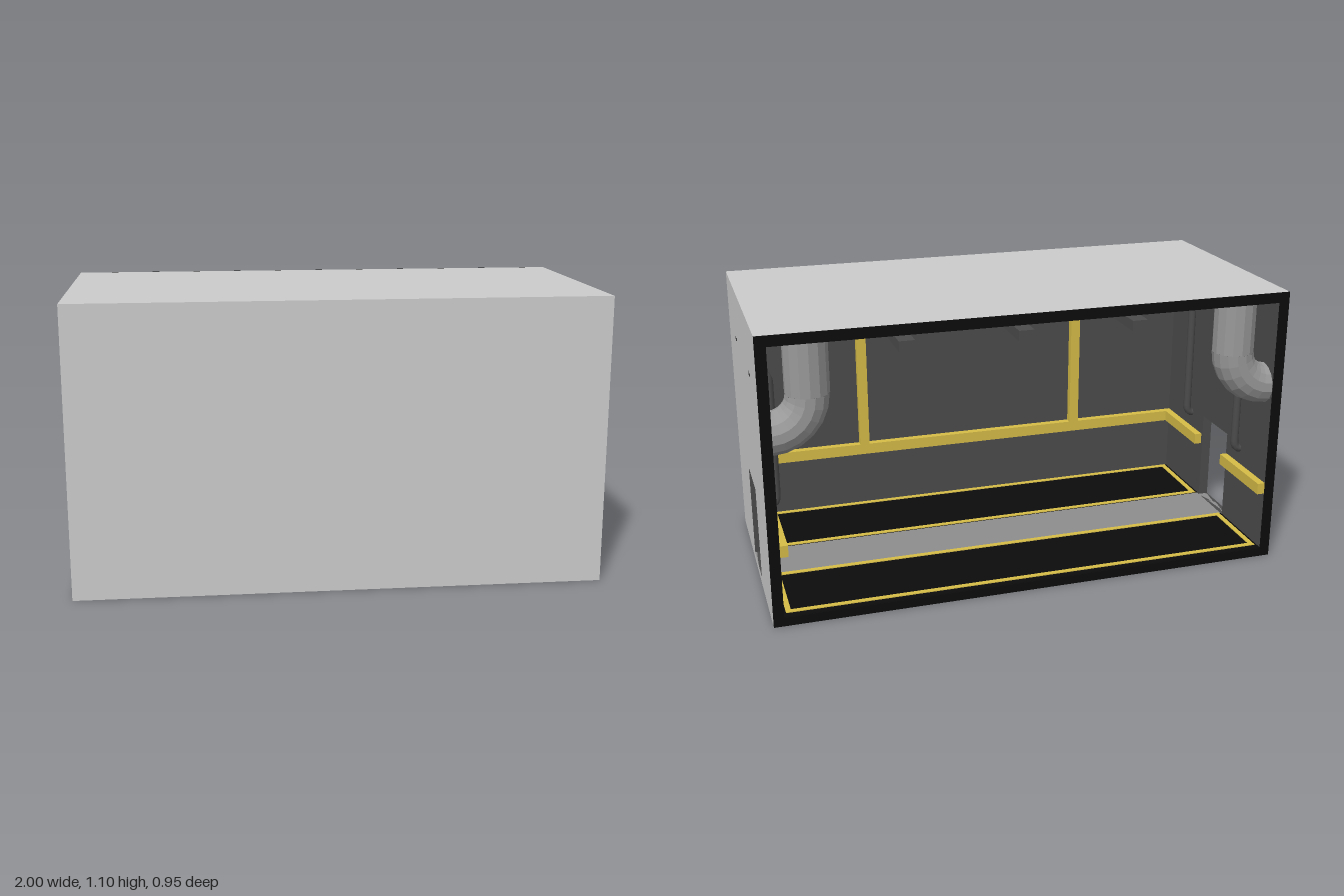
import * as THREE from 'three';

const paint = (color, extra = {}) => new THREE.MeshStandardMaterial({ color, ...extra });

export function createModel() {
  const model = new THREE.Group();
  const light = paint(0xcccccc);
  const dark = paint(0x4c4c4c);
  const black = paint(0x0c0c0c);
  const yellow = paint(0xd6bd48);
  const deck = paint(0x8e8e8e);
  const pipeGrey = paint(0x999999, { flatShading: true });

  const add = (name, geometry, material, x = 0, y = 0, z = 0) => {
    const mesh = new THREE.Mesh(geometry, material);
    mesh.name = name;
    mesh.position.set(x, y, z);
    model.add(mesh);
    return mesh;
  };
  // Box given by its lower and upper corners
  const box = (name, material, [x0, y0, z0], [x1, y1, z1]) =>
    add(name, new THREE.BoxGeometry(x1 - x0, y1 - y0, z1 - z0), material,
      (x0 + x1) / 2, (y0 + y1) / 2, (z0 + z1) / 2);
  const rect = (Type, x0, y0, x1, y1) => new Type(
    [[x0, y0], [x1, y0], [x1, y1], [x0, y1]].map(([x, y]) => new THREE.Vector2(x, y)));
  const panel = (outer, hole, depth) => {
    const shape = rect(THREE.Shape, ...outer);
    shape.holes.push(rect(THREE.Path, ...hole));
    return new THREE.ExtrudeGeometry(shape, { depth, bevelEnabled: false });
  };

  const H = 1.1, Z = 0.475, T = 0.04;
  const floorY = 0.035, ceilY = H - T, innerX = 1 - T, innerZ = Z - T;
  const door = [-0.14, floorY, 0.085, 0.405];

  // Shell: floor, roof and front wall, light outside and dark inside
  box('floor', [light, light, deck, light, light, black], [-1, 0, -Z], [1, floorY, Z]);
  box('roof', [light, light, light, dark, light, black], [-1, ceilY, -Z], [1, H, Z]);
  box('frontWall', [light, light, light, light, light, dark], [-1, floorY, innerZ], [1, ceilY, Z]);

  // Black rim around the open back
  add('openingRim', panel([-1, 0, 1, H], [-innerX, floorY, innerX, ceilY], 0.003), black, 0, 0, -0.478);

  // Long floor mats with yellow outlines either side of the walkway
  for (const [z0, z1, edge] of [[-0.475, -0.13, -0.45], [0.1, innerZ, 0.1]]) {
    box('floorMat', black, [-innerX, floorY, z0], [innerX, floorY + 0.002, z1]);
    const outline = panel([-0.95, edge, 0.95, z1], [-0.93, edge + 0.02, 0.93, z1 - 0.02], 0.003);
    outline.rotateX(Math.PI / 2);
    add('floorMarking', outline, yellow, 0, floorY + 0.005, 0);
  }

  // End walls with doorways, and what is fixed to them
  for (const s of [1, -1]) {
    const layer = (name, material, outerX) => {
      const g = panel([-Z, floorY, innerZ, ceilY], door, 0.02).rotateY(-Math.PI / 2);
      add(name, g, material, s > 0 ? outerX : 0.02 - outerX, 0, 0);
    };
    layer('endWall', [light, dark], 1);
    layer('endWallLining', dark, 0.98);

    // Rails on both sides of the doorway
    for (const [z0, z1] of [[-Z, -0.145], [0.095, innerZ]]) {
      const a = s * innerX, b = s * (innerX - 0.03);
      box('endRail', yellow, [Math.min(a, b), 0.275, z0], [Math.max(a, b), 0.32, z1]);
    }

    // Upright grab bars, curved into the wall
    for (const z of [0.2, -0.25]) {
      const p = (x, y) => new THREE.Vector3(s * x, y, z);
      const path = new THREE.CurvePath();
      path.add(new THREE.QuadraticBezierCurve3(p(0.965, 0.385), p(0.935, 0.385), p(0.935, 0.42)));
      path.add(new THREE.LineCurve3(p(0.935, 0.42), p(0.935, 0.86)));
      path.add(new THREE.QuadraticBezierCurve3(p(0.935, 0.86), p(0.935, 0.895), p(0.965, 0.895)));
      add('grabBar', new THREE.TubeGeometry(path, 40, 0.016, 10), dark);
      // Half-round bracket ends showing outside the wall
      if (s > 0) {
        const end = new THREE.CylinderGeometry(0.016, 0.016, 0.03, 12, 1, false, 0, Math.PI);
        end.rotateX(Math.PI / 2).rotateY(Math.PI / 2).rotateX(0);
        end.computeBoundingBox();
        const c = end.boundingBox;
        if (c.max.y - c.min.y > 0.02) end.rotateX(c.max.z > 0.01 ? Math.PI / 2 : -Math.PI / 2);
        end.computeBoundingBox();
        if (end.boundingBox.max.y > 0.01) end.rotateX(Math.PI);
        add('bracketEnd', end, paint(0x4c4c4c, { side: THREE.DoubleSide }), 0.987, 0.905, z);
      }
    }

    // Duct dropping from the ceiling and bending into the wall
    const bend = 0.14, bendY = 0.86, ductZ = -0.395;
    const elbow = new THREE.TorusGeometry(bend, 0.08, 14, 6, Math.PI / 2);
    elbow.rotateZ(s > 0 ? Math.PI : -Math.PI / 2);
    add('ductElbow', elbow, pipeGrey, s * innerX, bendY, ductZ);
    add('ductDrop', new THREE.CylinderGeometry(0.08, 0.08, ceilY - bendY, 14), pipeGrey,
      s * (innerX - bend), (ceilY + bendY) / 2, ductZ);

    // Posts on the front wall
    box('wallPost', yellow, [s * 0.477 - 0.02, 0.32, innerZ - 0.03], [s * 0.477 + 0.02, ceilY, innerZ]);
  }
  box('frontRail', yellow, [-innerX, 0.275, innerZ - 0.03], [innerX, 0.32, innerZ]);

  // Hanging light bars on short rods
  for (const x of [-0.45, 0, 0.45]) {
    box('lightBar', dark, [x - 0.03, 0.96, -0.35], [x + 0.03, 1.0, 0.35]);
    box('lightStrip', black, [x - 0.012, 0.957, -0.33], [x + 0.012, 0.96, 0.33]);
    for (const z of [-0.23, 0.23])
      add('lightRod', new THREE.CylinderGeometry(0.012, 0.012, ceilY - 1.0, 8), black, x, (ceilY + 1.0) / 2, z);
  }
  return model;
}
